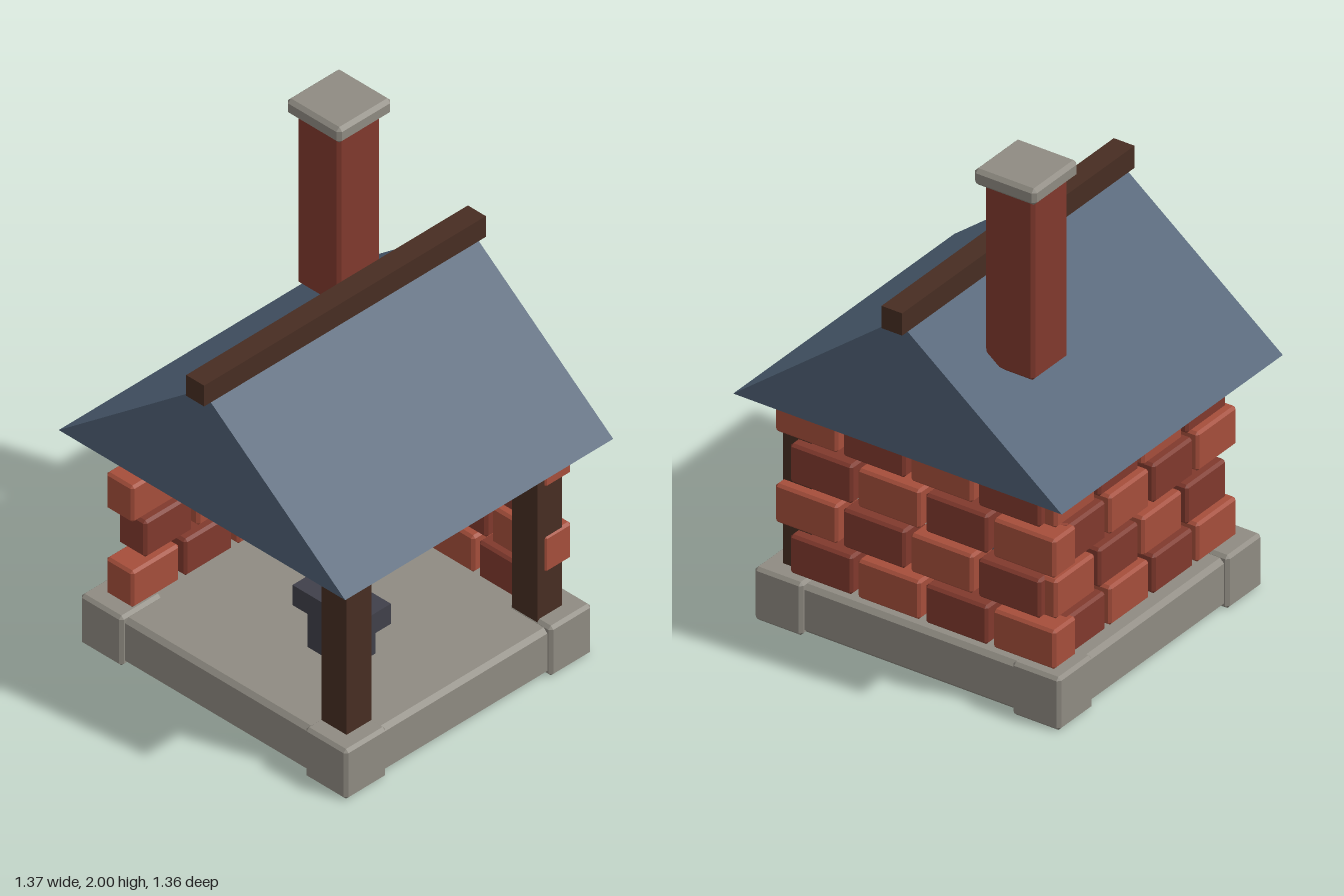
import * as THREE from 'three';
import { ConvexGeometry } from 'three/addons/geometries/ConvexGeometry.js';

const mat = (name, color) => {
  const m = new THREE.MeshStandardMaterial({ color });
  m.name = name;
  return m;
};

export function createModel() {
  const stone = mat('stone', 0x8f8b82);
  const brickLight = mat('light brick', 0xa54e3b);
  const brickDark = mat('dark brick', 0x80392d);
  const timber = mat('dark timber', 0x472d22);
  const slate = mat('slate blue', 0x4e6074);
  const hearthStone = mat('hearth grey', 0x616067);
  const iron = mat('iron', 0x40404a);
  const ember = mat('ember orange', 0xcc6022);

  const model = new THREE.Group();
  model.name = 'forge';

  const add = (name, geometry, material, parent = model) => {
    const mesh = new THREE.Mesh(geometry, material);
    mesh.name = name;
    parent.add(mesh);
    return mesh;
  };

  // Box given by its [min, max] range on each axis; bevel > 0 chamfers every edge
  const block = (name, [x0, x1], [y0, y1], [z0, z1], material, bevel = 0, parent = model) => {
    const size = [x1 - x0, y1 - y0, z1 - z0];
    let geometry;
    if (bevel) {
      const points = [];
      for (let face = 0; face < 3; face++)
        for (const sx of [-1, 1]) for (const sy of [-1, 1]) for (const sz of [-1, 1]) {
          const [x, y, z] = size.map((s, axis) => s / 2 - (axis === face ? 0 : bevel));
          points.push(new THREE.Vector3(sx * x, sy * y, sz * z));
        }
      geometry = new ConvexGeometry(points);
    } else {
      geometry = new THREE.BoxGeometry(...size);
    }
    const mesh = add(name, geometry, material, parent);
    mesh.position.set((x0 + x1) / 2, (y0 + y1) / 2, (z0 + z1) / 2);
    return mesh;
  };

  // Stone floor with a raised block at each corner
  block('floorSlab', [-0.62, 0.62], [0.005, 0.197], [-0.575, 0.575], stone, 0.017);
  for (const sx of [-1, 1]) for (const sz of [-1, 1]) {
    const corner = block('cornerStone', [-0.1, 0.1], [0, 0.21], [-0.1, 0.1], stone, 0.012);
    corner.position.x = sx * 0.537;
    corner.position.z = sz * 0.493;
  }

  // Brick walls on the back and right side, with staggered courses
  const backWall = new THREE.Group();
  backWall.name = 'backWall';
  const sideWall = new THREE.Group();
  sideWall.name = 'sideWall';
  model.add(backWall, sideWall);
  for (let row = 0; row < 4; row++) {
    const y = 0.21 + row * 0.18;
    const shift = row % 2 ? 0.062 : 0;
    for (let i = 0; i < 4; i++) {
      const material = (row + i) % 2 ? brickDark : brickLight;
      const x = -0.592 + shift + i * 0.282;
      block('brick', [x, x + 0.26], [y, y + 0.154], [-0.557, -0.427], material, 0.01, backWall);
      const z = 0.53 - shift - i * 0.255;
      block('brick', [-0.577, -0.447], [y, y + 0.154], [z - 0.23, z], material, 0.01, sideWall);
    }
  }

  // Timber posts on the open side
  block('frontPost', [0.45, 0.57], [0.19, 0.92], [0.403, 0.523], timber);
  block('backPost', [0.45, 0.57], [0.19, 0.92], [-0.515, -0.395], timber);

  // Solid gable roof and ridge beam
  const gable = new THREE.Shape([
    new THREE.Vector2(-0.685, 0.905),
    new THREE.Vector2(0.685, 0.905),
    new THREE.Vector2(0, 1.437),
  ]);
  const roof = new THREE.ExtrudeGeometry(gable, { depth: 1.29, bevelEnabled: false });
  roof.translate(0, 0, -0.645);
  add('roof', roof, slate);
  block('ridgeBeam', [-0.043, 0.043], [1.405, 1.493], [-0.678, 0.678], timber);

  // Chimney with a stone cap
  block('chimney', [-0.405, -0.2], [1.22, 1.96], [-0.42, -0.215], brickDark, 0.012);
  block('chimneyCap', [-0.432, -0.173], [1.935, 2], [-0.449, -0.19], stone, 0.014);

  // Hearth with glowing opening
  block('hearth', [-0.46, -0.037], [0.195, 0.655], [-0.44, -0.067], hearthStone);
  block('embers', [-0.372, -0.125], [0.27, 0.48], [-0.08, -0.003], ember);

  // Anvil
  block('anvilBase', [0.113, 0.302], [0.195, 0.35], [0.115, 0.25], iron);
  block('anvilTop', [0.053, 0.365], [0.35, 0.435], [0.103, 0.263], iron);

  return model;
}
